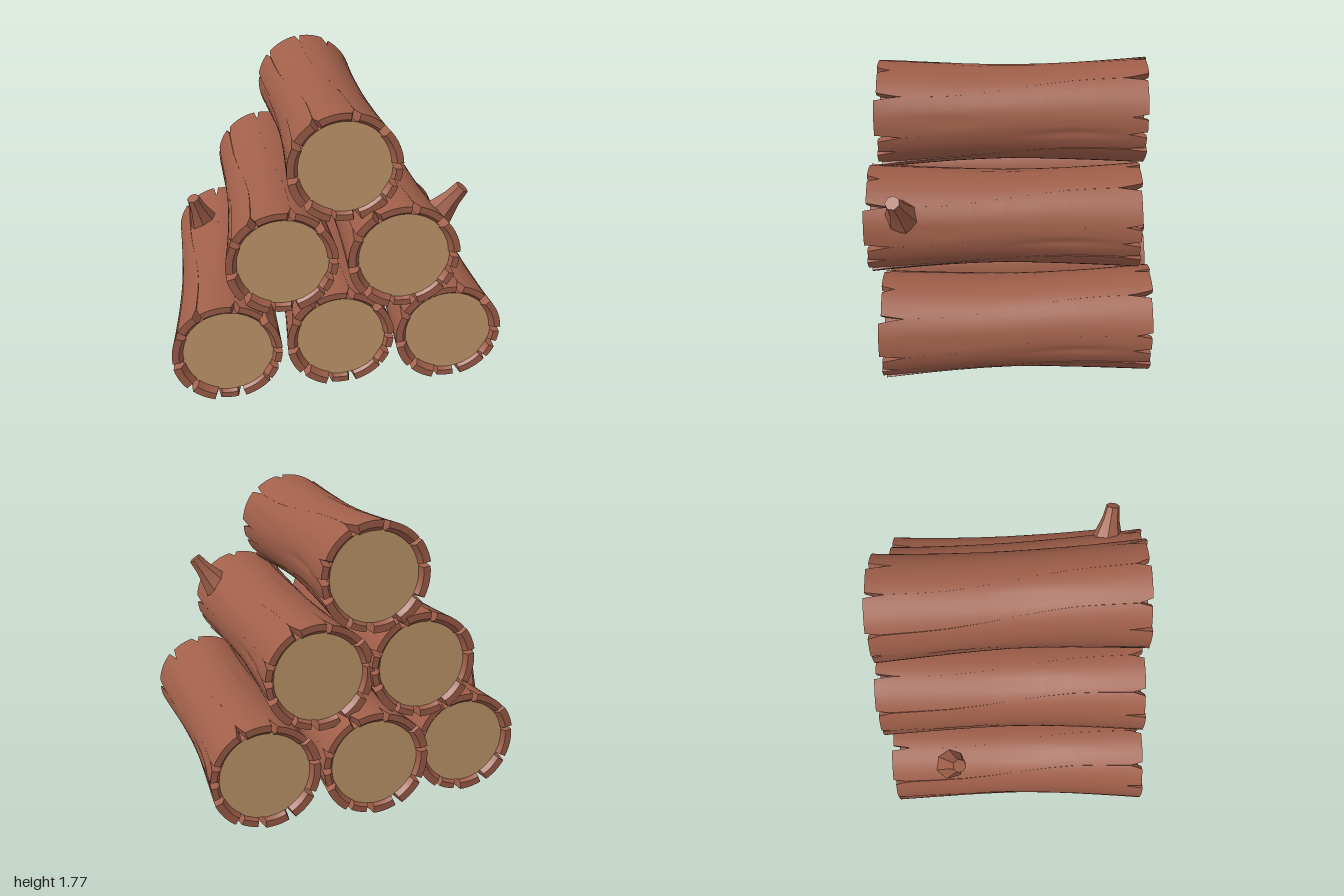
import * as THREE from 'three';
import { toCreasedNormals } from 'three/addons/utils/BufferGeometryUtils.js';

const bark = new THREE.MeshStandardMaterial({ color: 0xa05f4a });
bark.name = 'bark';
const wood = new THREE.MeshStandardMaterial({ color: 0xc69c6d });
wood.name = 'cutWood';

// front and back centre [x, y, z] of every log
const LOGS = [
  ['bottomRightLog', [-0.67, 0.335, 0.84], [-0.63, 0.335, -0.78]],
  ['bottomMiddleLog', [0.01, 0.335, 0.78], [-0.01, 0.335, -0.87]],
  ['bottomLeftLog', [0.665, 0.335, 0.8], [0.64, 0.335, -0.82]],
  ['middleRightLog', [-0.335, 0.895, 0.81], [-0.315, 0.895, -0.82]],
  ['middleLeftLog', [0.355, 0.92, 0.87], [0.3, 0.875, -0.77]],
  ['topLog', [0.02, 1.46, 0.8], [-0.015, 1.445, -0.81]],
];
const CRACKS = [0, 45, 80, 122, 152, 190, 224, 257, 283, 320, 340].map(THREE.MathUtils.degToRad);
const DIST = [0, 0.035, 0.075, 0.11, 0.15, 0.3, 0.45, 0.62]; // row distances from an end
const COLS = 6, CORE = 0.268, RECESS = 0.03;

// repeatable value in -1..1
const jitter = (k, s) => {
  const v = Math.sin(k * 12.9898 + s * 78.233) * 43758.5453;
  return (v - Math.floor(v)) * 2 - 1;
};

// outer bark radius: waisted, slightly lumpy, with a few long grooves
function barkRadius(a, t, k) {
  let r = 0.288 + 0.036 * Math.pow(Math.abs(t), 1.6);
  r += 0.004 * Math.sin(3 * a + 2 * t) * (1 - t * t);
  r += 0.006 * jitter(k, 3) * Math.abs(t);
  for (const [ga, gt] of [[0, -0.45], [0.3, 0.5], [1.9, 0.1], [3.2, -0.35], [4.5, 0.35]]) {
    const da = Math.atan2(Math.sin(a - ga), Math.cos(a - ga));
    r -= 0.012 * Math.exp(-((da / 0.07) ** 2) - ((t - gt) / 0.25) ** 2);
  }
  return r;
}

// bark shell: one lofted plate between each pair of cracks
function barkGeometry(front, back) {
  const pos = [], idx = [];
  const half = (front[2] - back[2]) / 2;
  const rows = [
    ...DIST.map(d => ({ d, s: -1 })),
    { d: half, s: 1 },
    ...DIST.map(d => ({ d, s: 1 })).reverse(),
  ];
  const n = COLS + 1, loop = 2 * n, count = CRACKS.length;

  // seam angle at a row, with the V-shaped opening at the log's ends
  const seam = (k, row, t, side) => {
    const kk = k % count;
    const turn = k >= count ? Math.PI * 2 : 0;
    const twist = 0.33 * (1 - THREE.MathUtils.smoothstep(t, -0.6, 0.6));
    const depth = 0.11 + 0.035 * jitter(kk, row.s + 5);
    const width = 0.06 + 0.018 * jitter(kk, row.s + 9);
    return CRACKS[kk] + turn + twist + side * width * Math.max(0, 1 - row.d / depth);
  };

  for (let k = 0; k < count; k++) {
    const base = pos.length / 3;
    rows.forEach(row => {
      const t = row.s * (1 - row.d / half);
      const grow = 0.016 * jitter(k, row.s + 14) * Math.max(0, 1 - row.d / 0.3);
      const z = (front[2] + back[2]) / 2 + t * half + row.s * grow;
      const cx = THREE.MathUtils.lerp(back[0], front[0], (t + 1) / 2);
      const cy = THREE.MathUtils.lerp(back[1], front[1], (t + 1) / 2);
      const a0 = seam(k, row, t, 1), a1 = seam(k + 1, row, t, -1);
      const inner = row.d === 0 ? 0.284 : 0.258;
      for (let i = 0; i < loop; i++) {
        const u = i < n ? i : loop - 1 - i;
        const a = a0 + (a1 - a0) * u / COLS;
        const r = i < n ? barkRadius(a, t, k) : inner;
        pos.push(cx + r * Math.cos(a), cy + r * Math.sin(a), z);
      }
    });
    for (let j = 0; j < rows.length - 1; j++) {
      for (let i = 0; i < loop; i++) {
        const a = base + j * loop + i, b = base + j * loop + (i + 1) % loop;
        idx.push(a, b, b + loop, a, b + loop, a + loop);
      }
    }
    // end faces of the plate
    const last = base + (rows.length - 1) * loop;
    for (let i = 0; i < COLS; i++) {
      const o = i, p = i + 1, q = loop - 2 - i, m = loop - 1 - i;
      idx.push(last + o, last + p, last + q, last + o, last + q, last + m);
      idx.push(base + o, base + q, base + p, base + o, base + m, base + q);
    }
  }
  const g = new THREE.BufferGeometry();
  g.setAttribute('position', new THREE.Float32BufferAttribute(pos, 3));
  g.setIndex(idx);
  return toCreasedNormals(g, 0.5);
}

// solid core with pale cut faces, sheared to follow the log's axis
function coreGeometry(front, back) {
  const length = front[2] - back[2];
  const g = new THREE.CylinderGeometry(CORE, CORE, length - 2 * RECESS, 28);
  g.rotateX(Math.PI / 2);
  const p = g.attributes.position;
  for (let i = 0; i < p.count; i++) {
    const u = p.getZ(i) / length + 0.5;
    p.setXYZ(i,
      p.getX(i) + THREE.MathUtils.lerp(back[0], front[0], u),
      p.getY(i) + THREE.MathUtils.lerp(back[1], front[1], u),
      p.getZ(i) + (front[2] + back[2]) / 2);
  }
  return g;
}

// broken branch: a flared seven-sided stub
function branchStub(name, from, to) {
  const a = new THREE.Vector3(...from), dir = new THREE.Vector3(...to).sub(a);
  const h = dir.length();
  const profile = [[0.105, 0], [0.085, 0.25], [0.055, 0.65], [0.043, 1], [0, 1]]
    .map(([r, y]) => new THREE.Vector2(r, y * h));
  const mesh = new THREE.Mesh(toCreasedNormals(new THREE.LatheGeometry(profile, 7), 0.6), bark);
  mesh.name = name;
  mesh.position.copy(a);
  mesh.quaternion.setFromUnitVectors(new THREE.Vector3(0, 1, 0), dir.normalize());
  return mesh;
}

export function createModel() {
  const model = new THREE.Group();
  model.name = 'logPile';
  for (const [name, front, back] of LOGS) {
    const log = new THREE.Group();
    log.name = name;
    const shell = new THREE.Mesh(barkGeometry(front, back), bark);
    shell.name = 'barkShell';
    const core = new THREE.Mesh(coreGeometry(front, back), [bark, wood, wood]);
    core.name = 'woodCore';
    log.add(shell, core);
    model.add(log);
  }
  model.add(
    branchStub('rightBranchStub', [-0.77, 0.56, -0.42], [-0.84, 0.79, -0.35]),
    branchStub('leftBranchStub', [0.565, 1.06, 0.655], [0.715, 1.26, 0.685]),
  );
  return model;
}
